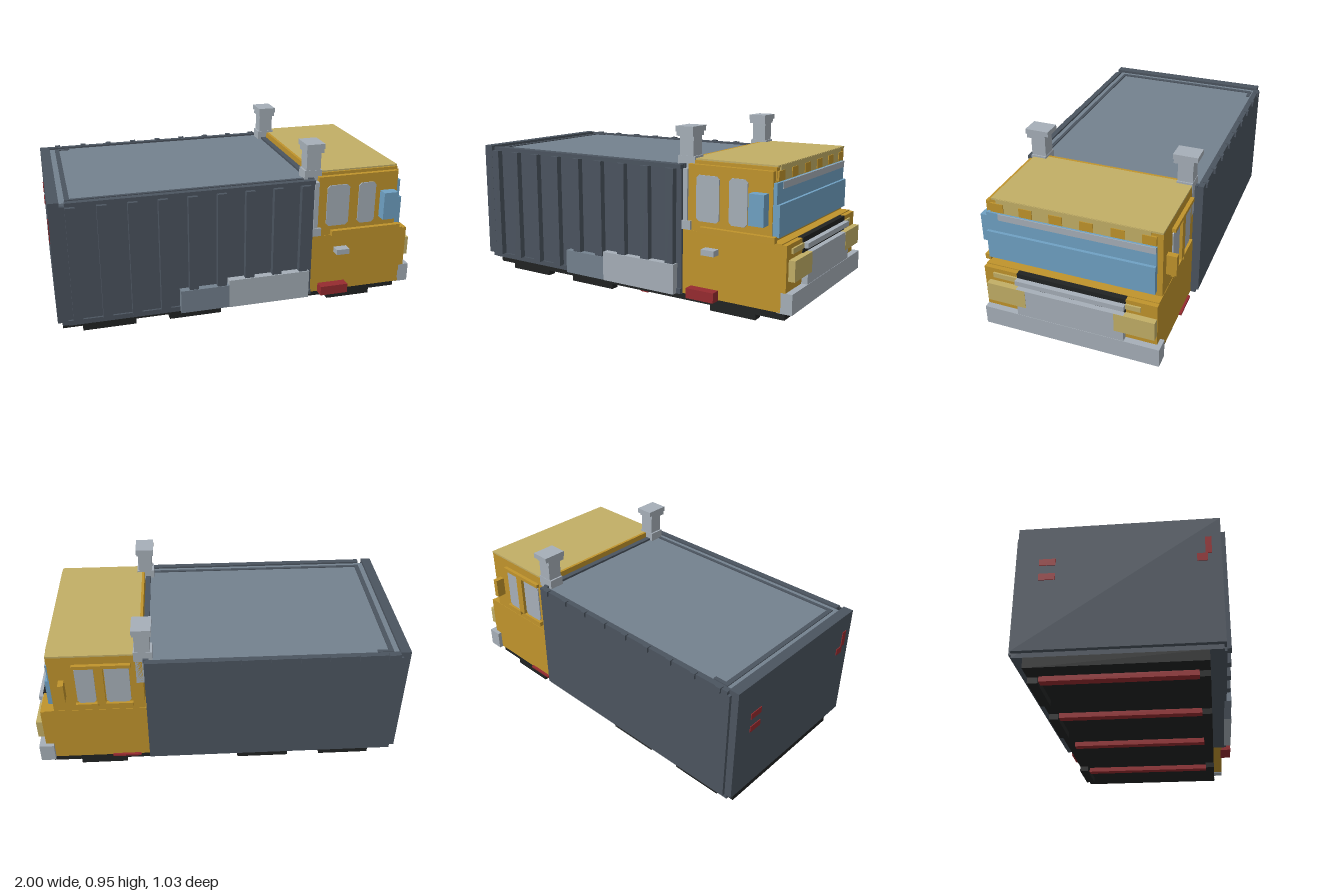
import * as THREE from 'three';

const mat = (name, color) => {
  const m = new THREE.MeshStandardMaterial({ color });
  m.name = name;
  return m;
};

export function createModel() {
  const M = {
    dark: mat('dark slate', 0x4b545f),
    slate: mat('light slate', 0x74818e),
    gold: mat('gold', 0xc0942c),
    khaki: mat('khaki', 0xc2ae66),
    grey: mat('pale grey', 0xa6afb8),
    blue: mat('glass blue', 0x6fa1c3),
    red: mat('red', 0x962b2f),
    black: mat('black', 0x212323),
  };
  const truck = new THREE.Group();
  truck.name = 'truck';
  const group = (name) => {
    const g = new THREE.Group();
    g.name = name;
    truck.add(g);
    return g;
  };
  // Box given by its low and high limits on each axis
  const box = (parent, name, m, x0, x1, y0, y1, z0, z1) => {
    const mesh = new THREE.Mesh(new THREE.BoxGeometry(x1 - x0, y1 - y0, z1 - z0), m);
    mesh.position.set((x0 + x1) / 2, (y0 + y1) / 2, (z0 + z1) / 2);
    mesh.name = name;
    parent.add(mesh);
    return mesh;
  };
  // Flat side window with clipped corners, facing +z or -z
  const pane = (parent, x0, x1, y0, y1, z, side) => {
    const c = 0.015, s = new THREE.Shape();
    s.moveTo(x0 + c, y0); s.lineTo(x1 - c, y0); s.lineTo(x1, y0 + c); s.lineTo(x1, y1 - c);
    s.lineTo(x1 - c, y1); s.lineTo(x0 + c, y1); s.lineTo(x0, y1 - c); s.lineTo(x0, y0 + c);
    const g = new THREE.ExtrudeGeometry(s, { depth: 0.006, bevelEnabled: false });
    const mesh = new THREE.Mesh(g, M.grey);
    mesh.position.z = side > 0 ? z : z - 0.006;
    mesh.name = 'sideWindow';
    parent.add(mesh);
  };

  // Chassis with side skids and cross bars underneath
  const chassis = group('chassis');
  box(chassis, 'chassisPlate', M.black, -0.975, 0.94, 0.03, 0.082, -0.435, 0.41);
  for (const [a, b] of [[-0.87, -0.585], [-0.4, -0.11], [0.525, 0.785]]) {
    box(chassis, 'skid', M.black, a, b, 0, 0.03, 0.36, 0.41);
    box(chassis, 'skid', M.black, a, b, 0, 0.03, -0.435, -0.385);
  }
  for (const x of [-0.855, -0.385, 0.075, 0.585])
    box(chassis, 'crossBar', M.red, x - 0.024, x + 0.024, 0.004, 0.03, -0.38, 0.36);

  // Cargo box: core, smooth far wall, rear frame and rails
  const cargo = group('cargoBox');
  box(cargo, 'cargoCore', M.dark, -0.975, 0.39, 0.082, 0.738, -0.49, 0.475);
  box(cargo, 'farWall', M.dark, -0.96, 0.39, 0.105, 0.74, -0.506, -0.49);
  box(cargo, 'rearFrame', M.dark, -1, -0.945, 0.105, 0.765, -0.49, 0.485);
  box(cargo, 'nearRail', M.dark, -0.92, 0.39, 0.738, 0.76, 0.455, 0.487);
  box(cargo, 'farRail', M.dark, -0.945, 0.39, 0.738, 0.76, -0.506, -0.475);
  box(cargo, 'frontRail', M.dark, 0.365, 0.395, 0.738, 0.762, -0.475, 0.455);
  box(cargo, 'roofPanel', M.slate, -0.945, 0.365, 0.735, 0.75, -0.475, 0.455);
  // Fine frame line on the roof
  box(cargo, 'roofLineRear', M.dark, -0.915, -0.89, 0.75, 0.755, -0.46, 0.425);
  box(cargo, 'roofLineNear', M.dark, -0.915, 0.365, 0.75, 0.755, 0.41, 0.428);
  box(cargo, 'roofLineFar', M.dark, -0.915, -0.83, 0.75, 0.755, -0.465, -0.445);
  // Ribs on the near wall, with tabs along the far rail
  for (let i = 0; i < 9; i++) {
    const x = -0.895 + i * 0.1535;
    box(cargo, 'wallRib', M.dark, x - 0.025, x + 0.025, 0.11, 0.74, 0.47, 0.508);
    box(cargo, 'farTab', M.dark, x - 0.015, x + 0.015, 0.735, 0.765, -0.516, -0.49);
  }
  box(cargo, 'nearSill', M.dark, -0.945, 0.39, 0.085, 0.112, 0.47, 0.487);
  // Side skirts
  box(cargo, 'rearSkirt', M.slate, -0.355, -0.09, 0.085, 0.215, 0.47, 0.512);
  box(cargo, 'frontSkirt', M.grey, -0.09, 0.365, 0.085, 0.245, 0.47, 0.515);
  // Rear marker lamps
  for (const y of [0.47, 0.55])
    box(cargo, 'rearMarker', M.red, -1.004, -0.999, y, y + 0.035, -0.38, -0.3);
  box(cargo, 'rearMarker', M.red, -1.004, -0.999, 0.53, 0.57, 0.37, 0.42);
  box(cargo, 'rearMarker', M.red, -1.004, -0.999, 0.57, 0.66, 0.41, 0.44);

  // Cab shell
  const cab = group('cab');
  box(cab, 'lowerCab', M.gold, 0.39, 0.94, 0.085, 0.425, -0.462, 0.462);
  box(cab, 'upperCab', M.gold, 0.4, 0.89, 0.42, 0.782, -0.46, 0.435);
  box(cab, 'nearDoorPanel', M.gold, 0.42, 0.885, 0.42, 0.765, 0.43, 0.46);
  box(cab, 'cabRoof', M.khaki, 0.415, 0.893, 0.78, 0.79, -0.46, 0.425);
  box(cab, 'roofEdge', M.gold, 0.4, 0.415, 0.78, 0.79, -0.46, 0.435);
  box(cab, 'doorTrim', M.gold, 0.5, 0.91, 0.425, 0.455, 0.455, 0.485);
  box(cab, 'cornerPost', M.grey, 0.395, 0.42, 0.43, 0.74, 0.43, 0.47);
  box(cab, 'postBracket', M.grey, 0.39, 0.44, 0.43, 0.475, 0.45, 0.475);
  // Side windows, with a frame on the far door
  for (const [a, b] of [[0.47, 0.6], [0.655, 0.755]]) {
    pane(cab, a, b, 0.48, 0.715, 0.46, 1);
    pane(cab, a, b, 0.48, 0.715, -0.46, -1);
    box(cab, 'windowLedge', M.gold, a - 0.01, b + 0.01, 0.455, 0.48, -0.48, -0.455);
  }
  box(cab, 'farWindowPillar', M.gold, 0.605, 0.65, 0.48, 0.73, -0.48, -0.455);
  box(cab, 'farWindowTop', M.gold, 0.46, 0.765, 0.715, 0.735, -0.48, -0.455);
  // Mirrors, door handle and steps
  box(cab, 'nearMirror', M.blue, 0.785, 0.865, 0.505, 0.66, 0.455, 0.515);
  box(cab, 'farMirror', M.gold, 0.812, 0.842, 0.525, 0.635, -0.512, -0.455);
  box(cab, 'doorHandle', M.grey, 0.525, 0.6, 0.32, 0.35, 0.455, 0.512);
  box(cab, 'nearStep', M.red, 0.44, 0.6, 0.082, 0.135, 0.455, 0.515);
  box(cab, 'farStep', M.red, 0.44, 0.6, 0.08, 0.092, -0.475, -0.42);

  // Windscreen with a pale visor strip and a row of roof lamps
  const face = group('cabFront');
  box(face, 'upperGlass', M.blue, 0.885, 0.904, 0.6, 0.71, -0.432, 0.455);
  box(face, 'lowerGlass', M.blue, 0.885, 0.92, 0.45, 0.607, -0.432, 0.455);
  box(face, 'visorStrip', M.grey, 0.902, 0.908, 0.675, 0.71, -0.43, 0.39);
  box(face, 'lampBand', M.khaki, 0.888, 0.896, 0.712, 0.788, -0.4, 0.4);
  for (const z of [0.395, 0.24, 0.08, -0.08, -0.24, -0.395])
    box(face, 'lampDivider', M.gold, 0.89, 0.9, 0.715, 0.764, z - 0.035, z + 0.035);

  // Bumper, grille and headlamps
  box(face, 'bumper', M.grey, 0.92, 1, 0.082, 0.187, -0.485, 0.462);
  box(face, 'grillePlate', M.grey, 0.93, 0.998, 0.185, 0.345, -0.3, 0.275);
  box(face, 'grilleSlot', M.black, 0.93, 0.97, 0.343, 0.423, -0.302, 0.277);
  box(face, 'grilleBar', M.grey, 0.96, 0.997, 0.37, 0.397, -0.302, 0.277);
  for (const [a, b] of [[0.275, 0.462], [-0.462, -0.3]])
    box(face, 'frontCheek', M.gold, 0.935, 0.965, 0.185, 0.42, a, b);
  for (const [a, b] of [[0.225, 0.437], [-0.46, -0.25]])
    box(face, 'headlamp', M.khaki, 0.95, 0.999, 0.24, 0.345, a, b);
  for (const [a, b] of [[0.277, 0.41], [-0.38, -0.302]])
    box(face, 'upperLamp', M.khaki, 0.95, 0.975, 0.37, 0.397, a, b);

  // Exhaust stacks behind the cab
  for (const [z, name] of [[0.395, 'nearStack'], [-0.42, 'farStack']]) {
    const stack = group(name);
    box(stack, 'stackPipe', M.grey, 0.355, 0.435, 0.6, 0.93, z - 0.04, z + 0.04);
    box(stack, 'stackCap', M.grey, 0.343, 0.445, 0.922, 0.95, z - 0.065, z + 0.065);
    box(stack, 'stackCollar', M.grey, 0.345, 0.443, 0.9, 0.922, z - 0.045, z + 0.06);
    box(stack, 'stackBase', M.grey, 0.345, 0.443, 0.74, 0.8, z - 0.042, z + 0.042);
  }
  return truck;
}
